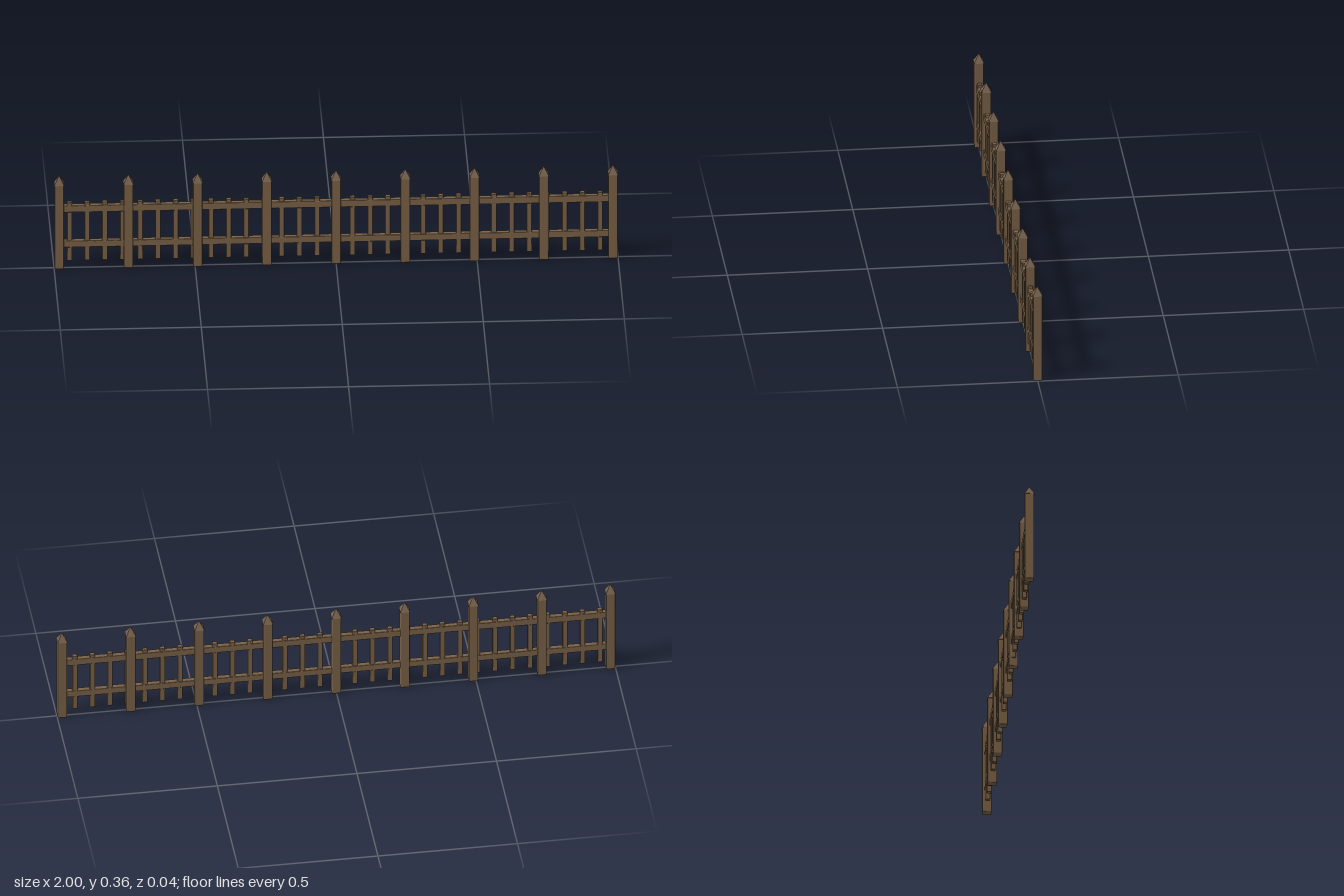
import * as THREE from 'three';
import { RoundedBoxGeometry } from 'three/addons/geometries/RoundedBoxGeometry.js';

const wood = new THREE.MeshStandardMaterial({ color: 0x7a6248 });
wood.name = 'brown wood';
const capWood = new THREE.MeshStandardMaterial({ color: 0x75604e });
capWood.name = 'weathered cap wood';

// Bevelled timber spanning y0..y1
function timber(name, w, y0, y1, d, bevel, x = 0) {
  const mesh = new THREE.Mesh(new RoundedBoxGeometry(w, y1 - y0, d, 1, bevel), wood);
  mesh.name = name;
  mesh.position.set(x, (y0 + y1) / 2, 0);
  return mesh;
}

export function createModel() {
  const fence = new THREE.Group();
  fence.name = 'fence';

  // Nine posts with pyramid caps
  const capSide = 0.036, capHeight = 0.033;
  const capGeometry = new THREE.ConeGeometry(capSide / Math.SQRT2, capHeight, 4, 1).rotateY(Math.PI / 4).toNonIndexed();
  capGeometry.computeVertexNormals();
  for (let i = 0; i < 9; i++) {
    const post = new THREE.Group();
    post.name = 'post';
    post.position.x = -0.982 + i * 0.2455;
    const cap = new THREE.Mesh(capGeometry, capWood);
    cap.name = 'postCap';
    cap.position.y = 0.33 + capHeight / 2;
    post.add(timber('postShaft', 0.033, 0, 0.333, 0.033, 0.004), cap);
    fence.add(post);
  }

  // Two long rails
  fence.add(timber('lowerRail', 1.964, 0.083, 0.109, 0.02, 0.003));
  fence.add(timber('upperRail', 1.964, 0.221, 0.248, 0.02, 0.003));

  // Slim pickets, evenly spaced along the whole run
  for (let i = 0; i < 31; i++) {
    fence.add(timber('picket', 0.019, 0.03, 0.26, 0.017, 0.003, -0.945 + i * 0.0627));
  }
  return fence;
}
